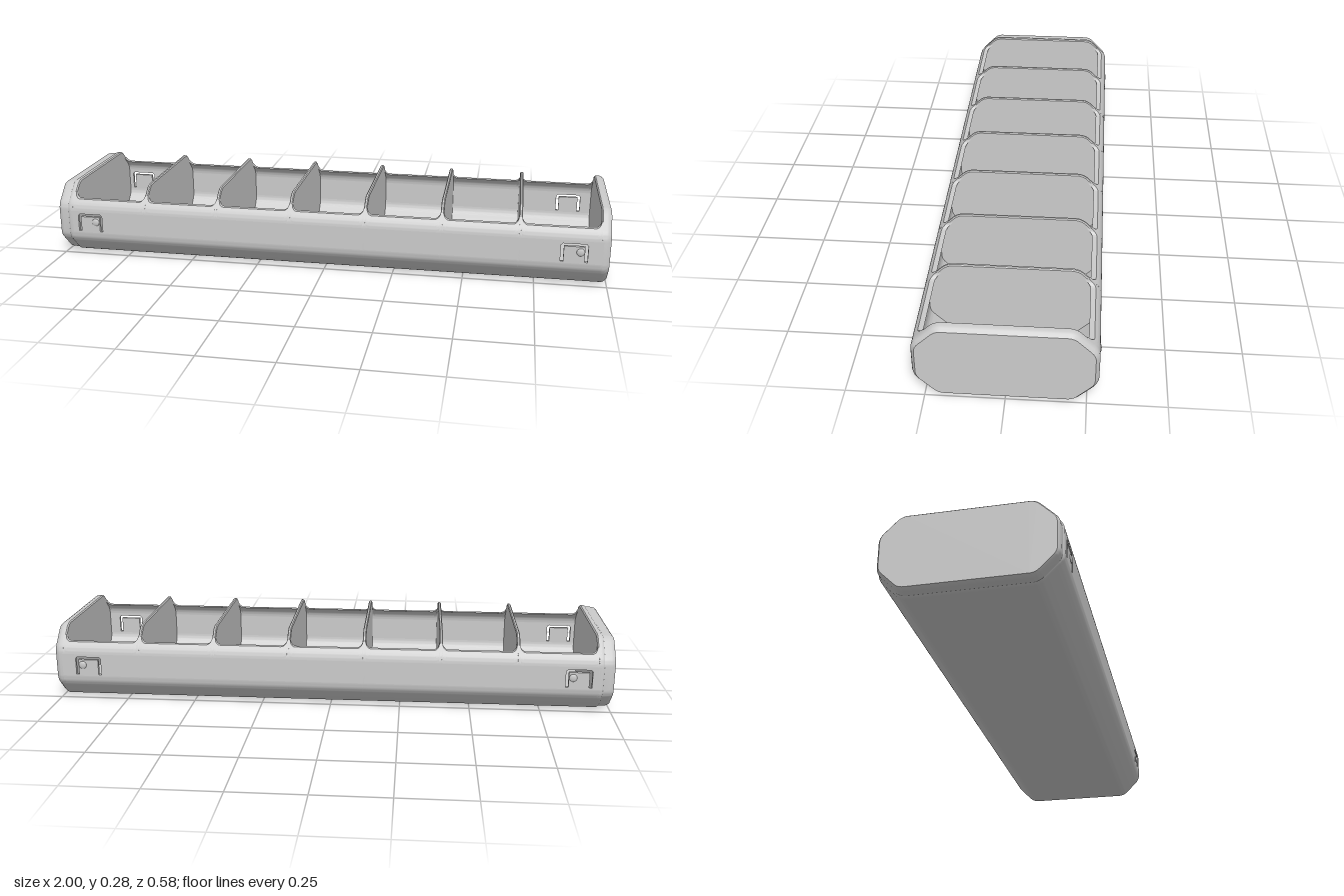
import * as THREE from 'three';
import { toCreasedNormals } from 'three/addons/utils/BufferGeometryUtils.js';

const W = 0.286, H = 0.275, CH = 0.074, R = 0.055, WALL = 0.012;
const TAN = R * Math.tan(Math.PI / 8);
const LOW = CH + TAN, HIGH = H - LOW;          // flat part of the side walls
const RIM = 0.22, X0 = -0.95, X1 = 0.975;
const IN0 = -0.938, IN1 = 0.965;               // inner faces of the end walls
const DIVIDERS = [-0.665, -0.393, -0.121, 0.15, 0.422, 0.693];
const HALF = 0.006, FILLET = 0.02;

// One eighth-turn rounded corner, as [z, y] points
function arc(cz, cy, from, r) {
  const pts = [];
  for (let i = 0; i <= 6; i++) {
    const a = from + (Math.PI / 4) * (i / 6);
    pts.push([cz + r * Math.cos(a), cy + r * Math.sin(a)]);
  }
  return pts;
}

// +z half of the rounded octagon, bottom to top, inset by d
function halfProfile(d) {
  const r = R - d, zi = W - CH - TAN, zo = W - R, q = Math.PI / 4;
  return [
    ...arc(zi, R, -2 * q, r), ...arc(zo, LOW, -q, r),
    ...arc(zo, HIGH, 0, r), ...arc(zi, H - R, q, r),
  ];
}
function ring(d) {
  const half = halfProfile(d);
  return [...half, ...half.map(([z, y]) => [-z, y]).reverse()];
}

// Skin closed [z, y] rings placed along x
function loft(sections, caps) {
  const pos = [], idx = [], n = sections[0].pts.length;
  sections.forEach(({ x, pts }) => pts.forEach(([z, y]) => pos.push(x, y, z)));
  for (let i = 0; i < sections.length - 1; i++) {
    for (let j = 0; j < n; j++) {
      const k = (j + 1) % n, a = i * n, b = a + n;
      idx.push(a + j, b + j, b + k, a + j, b + k, a + k);
    }
  }
  if (caps) {
    const last = (sections.length - 1) * n;
    for (let j = 1; j < n - 1; j++) {
      idx.push(0, j, j + 1, last, last + j + 1, last + j);
    }
  }
  const g = new THREE.BufferGeometry();
  g.setAttribute('position', new THREE.Float32BufferAttribute(pos, 3));
  g.setIndex(idx);
  return toCreasedNormals(g, 0.5);
}
const block = (list) => loft(list.map(([x, d]) => ({ x, pts: ring(d) })), true);

// z of the upper side wall at height y
function zAt(profile, y) {
  for (let i = 14; i < profile.length - 1; i++) {
    const [z0, y0] = profile[i], [z1, y1] = profile[i + 1];
    if (y <= y1) return z0 + (z1 - z0) * Math.max(0, (y - y0) / (y1 - y0));
  }
  return profile[profile.length - 1][0];
}

// Upper side wall whose rim sweeps up to every divider and end wall
function upperWall(side) {
  const outer = halfProfile(0), inner = halfProfile(WALL);
  const stations = [[X0, FILLET], [X1, FILLET]];
  const faces = [[IN0, 1], [IN1, -1]];
  DIVIDERS.forEach((x) => faces.push([x - HALF, -1], [x + HALF, 1]));
  faces.forEach(([x, dir]) => {
    for (let i = 0; i <= 8; i++) {
      const t = (Math.PI / 2) * (i / 8);
      stations.push([x + dir * FILLET * (1 - Math.cos(t)), FILLET * (1 - Math.sin(t))]);
    }
  });
  stations.sort((a, b) => a[0] - b[0]);
  return loft(stations.map(([x, rise]) => {
    const ys = [];
    for (let i = 0; i <= 10; i++) ys.push(HIGH + (RIM + rise - HIGH) * (i / 10));
    const up = ys.map((y) => [side * zAt(outer, y), y]);
    const down = ys.map((y) => [side * zAt(inner, y), y]).reverse();
    const pts = [...up, ...down];
    return { x, pts: side > 0 ? pts : pts.reverse() };
  }), false);
}

// Straight side panel with two U-shaped slots that free the latch tabs
function sidePanel() {
  const s = new THREE.Shape([
    [X0, LOW], [X1, LOW], [X1, HIGH], [X0, HIGH],
  ].map((p) => new THREE.Vector2(...p)));
  const w = 0.046, t = 0.01, top = 0.168, bottom = 0.102;
  [-0.876, 0.879].forEach((x) => {
    s.holes.push(new THREE.Path([
      [x - w, bottom], [x - w, top - 0.006], [x - w + 0.006, top],
      [x + w - 0.006, top], [x + w, top - 0.006], [x + w, bottom],
      [x + w - t, bottom], [x + w - t, top - t], [x - w + t, top - t], [x - w + t, bottom],
    ].map((p) => new THREE.Vector2(...p))));
  });
  return new THREE.ExtrudeGeometry(s, { depth: WALL, bevelEnabled: false });
}

export function createModel() {
  const group = new THREE.Group();
  const mat = new THREE.MeshStandardMaterial({ color: 0xcccccc });
  const add = (name, geo) => {
    const m = new THREE.Mesh(geo, mat);
    m.name = name;
    group.add(m);
    return m;
  };

  // Floor with its rounded lower corners
  const lowOut = halfProfile(0).slice(0, 14), lowIn = halfProfile(WALL).slice(0, 14);
  const flip = (pts) => pts.map(([z, y]) => [-z, y]);
  const trough = [
    ...flip(lowOut).reverse(), ...lowOut,
    ...lowIn.slice().reverse(), ...flip(lowIn),
  ];
  add('trayFloor', loft([X0, X1].map((x) => ({ x, pts: trough })), false));

  // Side walls, front and back
  [['front', 1], ['back', -1]].forEach(([label, side]) => {
    add(label + 'Panel', sidePanel()).position.z = side > 0 ? W - WALL : -W;
    add(label + 'Rim', upperWall(side));
    // Small catch on each latch tab
    [-0.855, 0.9].forEach((x) => {
      const bump = add(label + 'Catch', new THREE.SphereGeometry(0.014, 20, 12));
      bump.scale.z = 0.36;
      bump.position.set(x, 0.138, side * (W - 0.0005));
    });
  });

  // Dividers between the seven compartments
  DIVIDERS.forEach((x) => add('divider', block([
    [x - HALF, 0.004], [x - HALF + 0.003, 0], [x + HALF - 0.003, 0], [x + HALF, 0.004],
  ])));

  // End walls: a stepped one on the right, a bevelled one on the left
  add('rightEnd', block([
    [-1, 0.014], [-0.994, 0.009], [-0.985, 0.006], [-0.961, 0.005],
    [-0.956, 0.001], [-0.953, 0], [-0.942, 0], [IN0, 0.004],
  ]));
  add('leftEnd', block([
    [IN1, 0.004], [0.969, 0], [0.983, 0], [0.99, 0.003], [1, 0.012],
  ]));
  return group;
}
